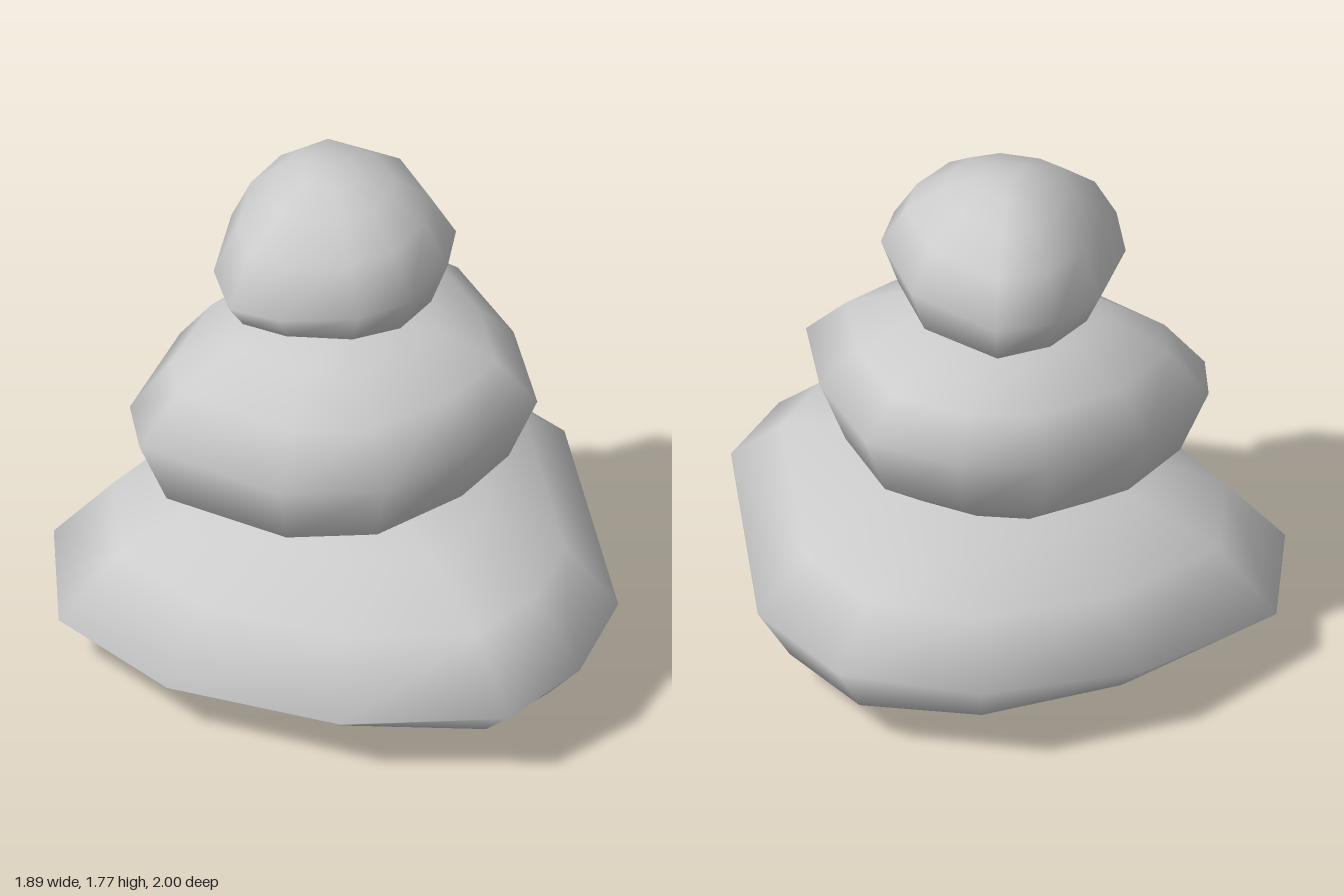
import * as THREE from 'three';

const material = new THREE.MeshStandardMaterial({ color: 0xcccccc });

// Shared ring sizes from crown to underside; the widest ring is the rim
const SCALES = [0.25, 0.52, 0.8, 1, 0.86, 0.58, 0.28];
const RIM = 3;

// A stone lofted through scaled copies of its plan outline, clockwise from above.
// Above the rim the sideways tilt fades towards the crown; below it stays constant.
function stone(name, { outline, centre, heights, poles, tilt }) {
  const [cx, cz] = centre;
  const [tiltAbove, tiltBelow, tiltZ] = tilt;
  const n = outline.length;
  const positions = [];
  const index = [];

  SCALES.forEach((s, i) => {
    const slopeX = i <= RIM ? tiltAbove * s : tiltBelow;
    for (const [ox, oz] of outline) {
      const x = cx + s * (ox - cx);
      const z = cz + s * (oz - cz);
      positions.push(x, heights[i] + slopeX * x + tiltZ * s * z, z);
    }
  });
  positions.push(cx, poles[0], cz, cx, poles[1], cz);

  // Skin the rings and close both poles with shared vertices
  const topPole = SCALES.length * n;
  const lastRing = topPole - n;
  for (let j = 0; j < n; j++) {
    const k = (j + 1) % n;
    index.push(topPole, k, j);
    for (let r = 0; r < lastRing; r += n) {
      index.push(r + j, r + k, r + n + k, r + j, r + n + k, r + n + j);
    }
    index.push(topPole + 1, lastRing + j, lastRing + k);
  }

  const geometry = new THREE.BufferGeometry();
  geometry.setAttribute('position', new THREE.Float32BufferAttribute(positions, 3));
  geometry.setIndex(index);
  geometry.computeVertexNormals();
  const mesh = new THREE.Mesh(geometry, material);
  mesh.name = name;
  return mesh;
}

export function createModel() {
  const group = new THREE.Group();
  group.name = 'stackedStones';

  // Broad, flat base stone, pointed at the front
  group.add(stone('bottomStone', {
    outline: [[-0.13, -1], [0.45, -0.96], [0.85, -0.7], [0.945, -0.27], [0.6, 0.67], [0.31, 0.91],
      [-0.02, 1], [-0.49, 0.69], [-0.85, 0.17], [-0.95, -0.37], [-0.71, -0.81]],
    centre: [0.02, -0.1],
    heights: [0.62, 0.565, 0.45, 0.25, 0.115, 0.03, 0.006],
    poles: [0.63, 0],
    tilt: [0.1, 0.015, -0.02],
  }));

  // Middle stone, leaning down to its right
  group.add(stone('middleStone', {
    outline: [[0.1, -0.74], [0.38, -0.63], [0.61, -0.4], [0.59, 0], [0.47, 0.36], [0.2, 0.46],
      [-0.18, 0.46], [-0.47, 0.26], [-0.72, -0.23], [-0.64, -0.43], [-0.31, -0.66]],
    centre: [-0.03, -0.13],
    heights: [1.225, 1.185, 1.08, 0.93, 0.7, 0.58, 0.56],
    poles: [1.235, 0.55],
    tilt: [0.13, 0.14, -0.06],
  }));

  // Small rounded cap stone
  group.add(stone('topStone', {
    outline: [[0, -0.605], [0.22, -0.59], [0.39, -0.29], [0.35, 0.03], [0.23, 0.18], [0.03, 0.285],
      [-0.17, 0.26], [-0.38, 0.11], [-0.48, -0.05], [-0.41, -0.27], [-0.2, -0.51]],
    centre: [-0.03, -0.16],
    heights: [1.755, 1.71, 1.615, 1.465, 1.33, 1.26, 1.235],
    poles: [1.77, 1.225],
    tilt: [0.1, 0, 0],
  }));

  return group;
}
